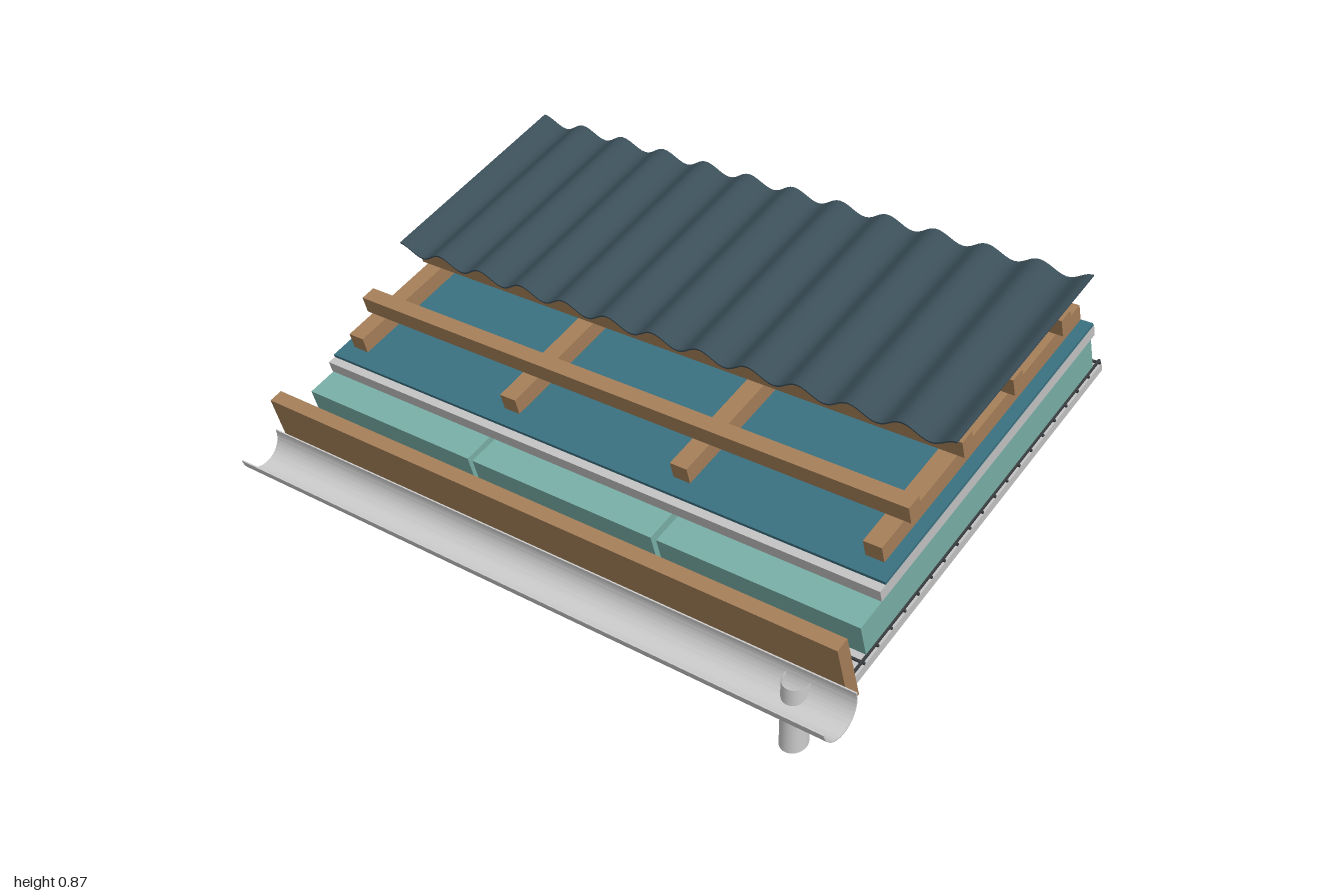
import * as THREE from 'three';
import { toCreasedNormals } from 'three/addons/utils/BufferGeometryUtils.js';

const PITCH = THREE.MathUtils.degToRad(18);

function material(name, color, side = THREE.FrontSide) {
  const m = new THREE.MeshStandardMaterial({ color, side });
  m.name = name;
  return m;
}

export function createModel() {
  const concrete = material('light grey board', 0xc2c2c2);
  const wire = material('dark wire', 0x3a3d3f);
  const foam = material('pale teal insulation', 0x78aea5);
  const film = material('blue membrane', 0x3a7080);
  const wood = material('wood', 0xa47e58);
  const slate = material('slate sheet', 0x3b4f59);
  const metal = material('gutter metal', 0xcccccc, THREE.DoubleSide);

  const model = new THREE.Group();
  model.name = 'layeredRoof';
  // Everything but the downpipe lies in the pitched frame
  const roof = new THREE.Group();
  roof.name = 'pitchedLayers';
  roof.rotation.x = PITCH;
  model.add(roof);

  function add(name, geometry, mat, parent = roof) {
    const mesh = new THREE.Mesh(geometry, mat);
    mesh.name = name;
    parent.add(mesh);
    return mesh;
  }

  // Box given by its limits in x, y and z
  function slab(name, mat, x0, x1, y0, y1, z0, z1) {
    const mesh = add(name, new THREE.BoxGeometry(x1 - x0, y1 - y0, z1 - z0), mat);
    mesh.position.set((x0 + x1) / 2, (y0 + y1) / 2, (z0 + z1) / 2);
    return mesh;
  }

  // Base board
  slab('baseBoard', concrete, -0.943, 0.943, 0.31, 0.335, -0.82, 0.41);

  // Wire mesh lying on the base board
  const w = 0.003;
  for (let i = 0; i <= 30; i++) {
    const x = -0.937 + (i * 1.874) / 30;
    slab('meshWireAlong', wire, x - w, x + w, 0.342, 0.348, -0.82, 0.41);
  }
  for (let i = 0; i <= 20; i++) {
    const z = -0.815 + (i * 1.22) / 20;
    slab('meshWireAcross', wire, -0.943, 0.943, 0.336, 0.342, z - w, z + w);
  }

  // Three insulation panels with narrow gaps
  for (const i of [-1, 0, 1]) {
    const x = i * 0.634;
    slab('insulationPanel', foam, x - 0.308, x + 0.308, 0.36, 0.456, -0.776, 0.333);
  }

  // Upper board and membrane
  slab('upperBoard', concrete, -0.943, 0.943, 0.458, 0.493, -0.795, 0.242);
  slab('membrane', film, -0.943, 0.943, 0.493, 0.502, -0.791, 0.217);

  // Rafters running up the slope
  for (const x of [-0.88, -0.293, 0.293, 0.88]) {
    slab('rafter', wood, x - 0.027, x + 0.027, 0.502, 0.552, -0.79, 0.165);
  }

  // Cross battens
  for (let i = 0; i < 4; i++) {
    const z = 0.043 - i * 0.244;
    slab('batten', wood, -0.927, 0.927, 0.552, 0.604, z - 0.023, z + 0.023);
  }

  // Corrugated sheet: a wave profile extruded up the slope
  const waves = 12, steps = waves * 12, half = 0.943, thick = 0.005;
  const profile = [];
  for (let i = 0; i <= steps; i++) {
    const t = i / steps;
    profile.push(new THREE.Vector2(-half + 2 * half * t, 0.634 + 0.0165 * Math.cos(t * waves * Math.PI * 2)));
  }
  const lower = profile.map((p) => new THREE.Vector2(p.x, p.y - thick / 2));
  const upper = profile.map((p) => new THREE.Vector2(p.x, p.y + thick / 2)).reverse();
  const sheet = new THREE.ExtrudeGeometry(new THREE.Shape([...lower, ...upper]), { depth: 0.675, bevelEnabled: false });
  sheet.translate(0, 0, -0.81);
  add('corrugatedSheet', toCreasedNormals(sheet, 0.8), slate);

  // Fascia board at the eave
  slab('fascia', wood, -0.965, 0.965, 0.31, 0.514, 0.41, 0.452);

  // Half-round gutter: a thin half ring extruded along x
  const ring = new THREE.Shape();
  ring.absarc(0, 0, 0.071, Math.PI, Math.PI * 2, false);
  ring.absarc(0, 0, 0.067, Math.PI * 2, Math.PI, true);
  const trough = new THREE.ExtrudeGeometry(ring, { depth: 2, bevelEnabled: false, curveSegments: 24 });
  trough.translate(0, 0, -1);
  trough.rotateY(Math.PI / 2);
  const gutter = add('gutter', toCreasedNormals(trough, 0.6), metal);
  gutter.position.set(0, 0.386, 0.524);

  // Upright downpipe with slanted ends
  const pipe = new THREE.CylinderGeometry(0.037, 0.037, 0.186, 32, 1, true);
  const p = pipe.attributes.position;
  for (let i = 0; i < p.count; i++) p.setY(i, p.getY(i) - 0.28 * p.getZ(i));
  add('downpipe', pipe, metal, model).position.set(0.835, 0.104, 0.56);

  return model;
}
